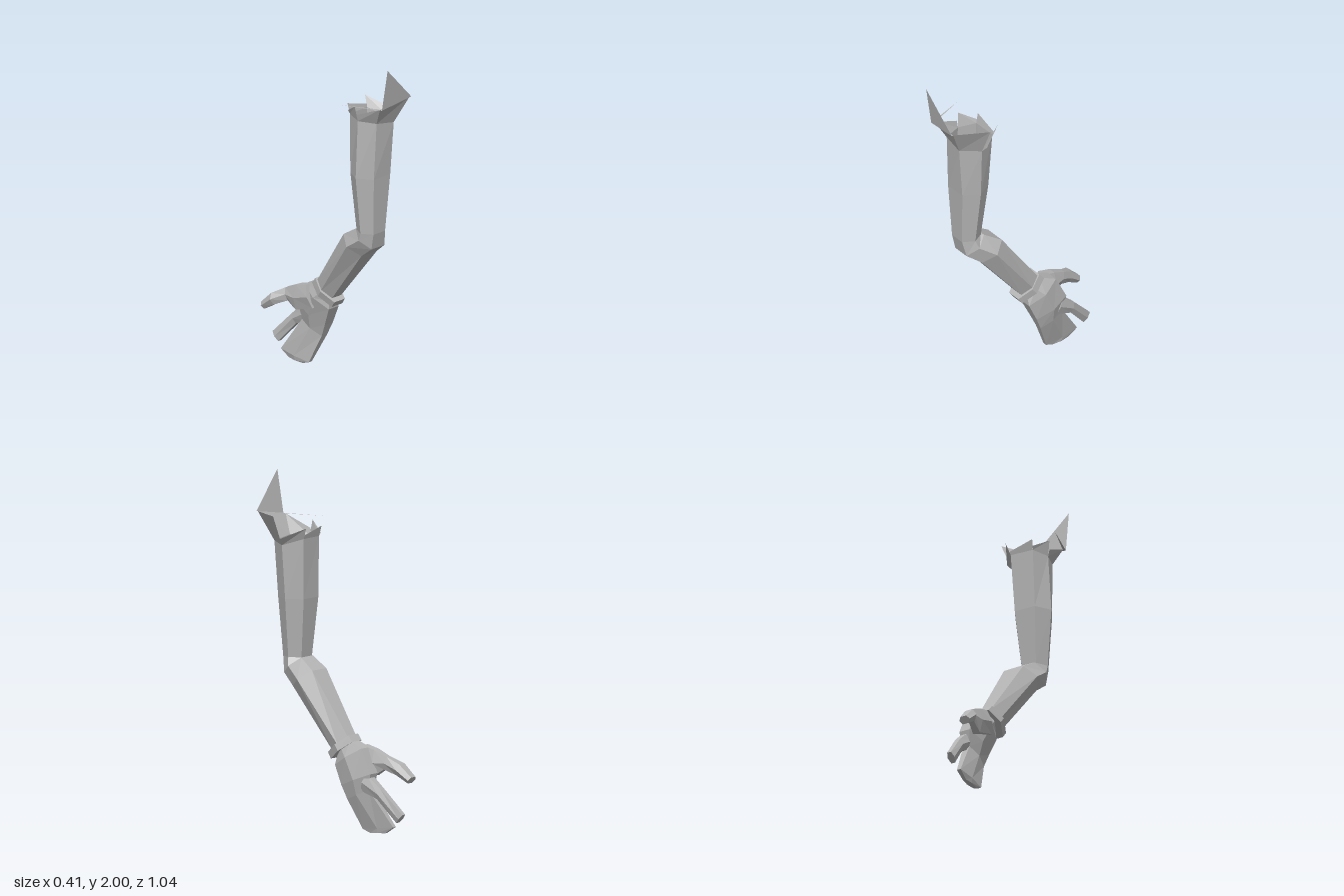
import * as THREE from 'three';

const grey = new THREE.MeshStandardMaterial({ color: 0xb4b4b4, side: THREE.DoubleSide, flatShading: true });
grey.name = 'plain grey';

// Flat-shaded mesh from a list of triangles, each three [x, y, z] corners
function meshFrom(name, tris) {
  const g = new THREE.BufferGeometry();
  g.setAttribute('position', new THREE.Float32BufferAttribute(tris.flat(2), 3));
  g.computeVertexNormals();
  const m = new THREE.Mesh(g, grey);
  m.name = name;
  return m;
}

const quad = (a, b, c, d) => [[a, b, c], [a, c, d]];

// Six-sided section: x from x0 to x1, front edge at (fy, fz), back edge at (by, bz)
function ring([x0, x1, fy, fz, by, bz], flat = 0.22) {
  const a = x0 + (x1 - x0) * flat, b = x1 - (x1 - x0) * flat;
  const my = (fy + by) / 2, mz = (fz + bz) / 2;
  return [[a, fy, fz], [b, fy, fz], [x1, my, mz], [b, by, bz], [a, by, bz], [x0, my, mz]];
}

// Skin between successive sections, with optional end caps
function loft(name, rings, capStart, capEnd) {
  const tris = [];
  for (let i = 0; i < rings.length - 1; i++) {
    const a = rings[i], b = rings[i + 1], n = a.length;
    for (let j = 0; j < n; j++) {
      const k = (j + 1) % n;
      tris.push(...quad(b[j], b[k], a[k], a[j]));
    }
  }
  const last = rings[rings.length - 1];
  for (let j = 1; j < last.length - 1; j++) {
    if (capStart) tris.push([rings[0][0], rings[0][j], rings[0][j + 1]]);
    if (capEnd) tris.push([last[0], last[j + 1], last[j]]);
  }
  return meshFrom(name, tris);
}

export function createModel() {
  const group = new THREE.Group();

  // Upper arm, elbow and forearm in one open-topped skin
  const top = [[-0.08, 1.64, 0.4], [0.05, 1.62, 0.41], [0.12, 1.61, 0.3],
    [0.065, 1.65, 0.185], [-0.08, 1.65, 0.19], [-0.12, 1.64, 0.29]];
  const arm = [
    [-0.14, 0.1, 1.3, 0.385, 1.3, 0.2],
    [-0.11, 0.06, 0.96, 0.368, 0.96, 0.235],
    [-0.11, 0.08, 0.865, 0.348, 0.962, 0.225],
    [-0.11, 0.12, 0.8, 0.26, 0.9, 0.12],
    [-0.035, 0.095, 0.45, -0.03, 0.54, -0.14],
  ].map((r) => ring(r));
  group.add(loft('arm', [top, ...arm], false, true));

  // Torn collar: each panel is [first bottom corner, start tip, end tip]
  const panels = [
    [0, [-0.115, 1.75, 0.46], [0.1, 1.785, 0.49]],
    [1, [0.1, 1.785, 0.49], [0.2, 1.785, 0.3]],
    [2, [0.155, 1.65, 0.29], [0.08, 1.715, 0.155]],
    [3, [0.07, 1.67, 0.18], [-0.085, 1.71, 0.175]],
    [4, [-0.085, 1.67, 0.18], [-0.135, 1.73, 0.28]],
    [5, [-0.13, 1.68, 0.29], [-0.115, 1.75, 0.46]],
  ];
  group.add(meshFrom('tornCollar', panels.flatMap(([j, s, e]) => quad(top[j], top[(j + 1) % 6], e, s))));

  // Large and thin shreds standing off the collar
  group.add(meshFrom('tallShred', [
    [[-0.12, 1.75, 0.48], [0.1, 1.785, 0.5], [-0.115, 2, 0.52]],
    ...quad([-0.115, 1.75, 0.46], [0.1, 1.785, 0.49], [0.1, 1.785, 0.5], [-0.12, 1.75, 0.48]),
  ]));
  group.add(meshFrom('sideShred', [[[-0.115, 1.75, 0.45], [-0.12, 1.75, 0.48], [-0.205, 1.745, 0.23]]]));

  // Wristband
  group.add(loft('wristband', [
    [-0.05, 0.105, 0.445, 0.005, 0.555, -0.145],
    [-0.045, 0.11, 0.41, -0.02, 0.52, -0.175],
  ].map((r) => ring(r)), true, true));

  // Palm running into the joined fingers
  group.add(loft('palmAndFingers', [
    [-0.01, 0.09, 0.43, -0.06, 0.53, -0.15],
    [-0.025, 0.12, 0.38, -0.06, 0.49, -0.25],
    [0.0, 0.12, 0.27, -0.11, 0.35, -0.32],
    [0.02, 0.1, 0.19, -0.145, 0.255, -0.3],
    [0.0, 0.045, 0.02, -0.22, 0.05, -0.44],
    [0.005, 0.04, 0.002, -0.27, 0.01, -0.38],
  ].map((r) => ring(r)), true, true));

  // Index finger
  group.add(loft('indexFinger', [
    [0.03, 0.11, 0.25, -0.25, 0.35, -0.29],
    [0.035, 0.095, 0.21, -0.36, 0.27, -0.385],
    [0.015, 0.06, 0.08, -0.475, 0.13, -0.52],
  ].map((r) => ring(r)), true, true));

  // Thumb
  group.add(loft('thumb', [
    [-0.045, 0.05, 0.37, -0.16, 0.5, -0.21],
    [-0.045, 0.04, 0.33, -0.29, 0.48, -0.29],
    [-0.04, 0.02, 0.37, -0.35, 0.445, -0.37],
    [-0.09, 0.0, 0.34, -0.42, 0.405, -0.44],
    [-0.09, -0.02, 0.298, -0.49, 0.335, -0.515],
  ].map((r) => ring(r)), true, true));

  return group;
}
